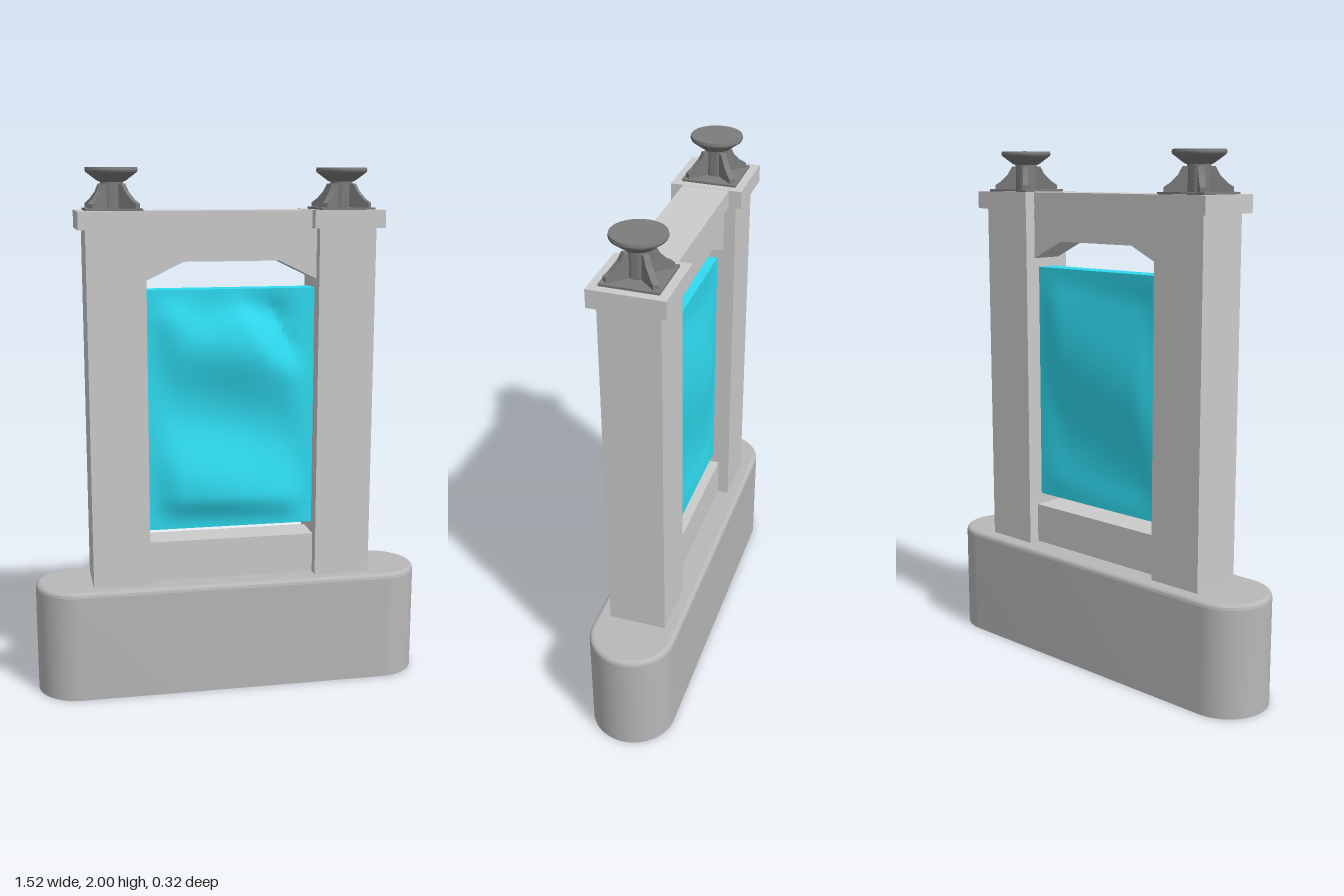
import * as THREE from 'three';
import { toCreasedNormals } from 'three/addons/utils/BufferGeometryUtils.js';

const material = (color, side = THREE.FrontSide) => new THREE.MeshStandardMaterial({ color, side });
const stone = material(0xcccccc);
const plinthStone = material(0xb8b8b8);
const iron = material(0x7c7c7c);
const cloth = material(0x2fdcf2, THREE.DoubleSide);

function add(parent, name, geometry, mat) {
  const mesh = new THREE.Mesh(geometry, mat);
  mesh.name = name;
  parent.add(mesh);
  return mesh;
}

// Box given by its x centre, width, bottom, top and depth
function block(parent, name, x, width, y0, y1, depth, mat = stone) {
  const mesh = add(parent, name, new THREE.BoxGeometry(width, y1 - y0, depth), mat);
  mesh.position.set(x, (y0 + y1) / 2, 0);
  return mesh;
}

// Flat outline extruded symmetrically about z = 0
function slab(points, depth) {
  const shape = new THREE.Shape(points.map(([x, y]) => new THREE.Vector2(x, y)));
  return new THREE.ExtrudeGeometry(shape, { depth, bevelEnabled: false }).translate(0, 0, -depth / 2);
}

const profile = (points) => points.map(([r, y]) => new THREE.Vector2(r, y));

// Round plinth split at x = 0 and pulled apart into a long rounded form
function plinthGeometry() {
  const segments = 96, start = Math.PI / segments;
  const g = new THREE.LatheGeometry(profile([
    [0, 0], [0.162, 0], [0.162, 0.412], [0.1595, 0.422], [0.154, 0.428], [0.146, 0.431], [0, 0.431],
  ]), segments, start);
  const p = g.attributes.position, uv = g.attributes.uv;
  for (let i = 0; i < p.count; i++) {
    const side = Math.sign(Math.sin(start + uv.getX(i) * Math.PI * 2));
    p.setX(i, p.getX(i) + side * 0.598);
  }
  return toCreasedNormals(g, 0.2);
}

// Hanging: straight rim, rippled front and back faces
const bump = (x, y, cx, cy, rx, ry) => Math.exp(-(((x - cx) / rx) ** 2) - ((y - cy) / ry) ** 2);

// 0 on the rim, rising to 1 a short way inside it
function inside(x, y) {
  const rise = (d) => THREE.MathUtils.smoothstep(d, 0, 0.13);
  return rise(0.325 - Math.abs(x)) * rise(0.4625 - Math.abs(y - 1.0925));
}

function frontFold(x, y) {
  const ripple = 0.012 + 0.022 * Math.sin(10 * (y - 1.2) + 3 * x)
    + 0.02 * bump(x, y, 0.05, 1.33, 0.16, 0.14)
    - 0.025 * bump(x, y, -0.1, 1.47, 0.1, 0.1)
    + 0.015 * bump(x, y, -0.05, 0.85, 0.2, 0.15);
  // Sharp valley cutting off the upper corner
  const valley = 0.045 * Math.max(0, 1 - Math.abs((x - 0.2) * 0.8 + (y - 1.4) * 0.4) / 0.1);
  return 0.042 + inside(x, y) * ripple - valley * THREE.MathUtils.smoothstep(y, 1.2, 1.36) * inside(x, y);
}

function backFold(x, y) {
  return -0.042 - inside(x, y) * (0.006 + 0.014 * Math.sin(8 * (y - 1) - 3 * x));
}

function hangingGeometry() {
  const g = new THREE.BoxGeometry(0.65, 0.925, 0.1, 32, 46, 1).translate(0, 1.0925, 0);
  const p = g.attributes.position;
  for (let i = 0; i < p.count; i++) {
    const fold = p.getZ(i) > 0 ? frontFold : backFold;
    p.setZ(i, fold(p.getX(i), p.getY(i)));
  }
  return toCreasedNormals(g, 0.6);
}

// Iron finial: square plate, four diagonal gussets, stem and flared head
function finial(x) {
  const group = new THREE.Group();
  group.name = x > 0 ? 'leftFinial' : 'rightFinial';
  group.position.set(x, 1.845, 0);
  block(group, 'finialPlate', 0, 0.206, 0, 0.009, 0.206, iron);
  const head = new THREE.LatheGeometry(profile([
    [0, 0.005], [0.042, 0.005], [0.042, 0.103], [0.052, 0.107], [0.094, 0.138], [0.097, 0.145], [0.095, 0.155], [0, 0.155],
  ]), 32);
  add(group, 'finialHead', toCreasedNormals(head, 0.5), iron);
  const gusset = slab([
    [0.03, 0.008], [0.122, 0.008], [0.122, 0.026], [0.1, 0.04], [0.072, 0.068], [0.056, 0.097], [0.03, 0.097],
  ], 0.022);
  for (let i = 0; i < 4; i++) {
    add(group, 'finialGusset', gusset, iron).rotation.y = Math.PI / 4 + i * Math.PI / 2;
  }
  return group;
}

export function createModel() {
  const model = new THREE.Group();
  model.name = 'stoneGateway';

  add(model, 'plinth', plinthGeometry(), plinthStone);

  // Mirrored pillars with caps and finials
  for (const s of [1, -1]) {
    const side = s > 0 ? 'left' : 'right';
    block(model, side + 'Pillar', s * 0.434, 0.218, 0.425, 1.785, 0.218);
    block(model, side + 'PillarCap', s * 0.435, 0.27, 1.78, 1.846, 0.27);
    model.add(finial(s * 0.435));
  }

  // Cross members between the pillars
  block(model, 'sill', 0, 0.65, 0.425, 0.587, 0.13);
  block(model, 'lintel', 0, 0.61, 1.78, 1.845, 0.176);
  add(model, 'lintelArch', slab([
    [-0.325, 1.59], [-0.18, 1.66], [0.18, 1.66], [0.325, 1.59], [0.325, 1.782], [-0.325, 1.782],
  ], 0.13), stone);

  add(model, 'hangingCloth', hangingGeometry(), cloth);
  return model;
}
